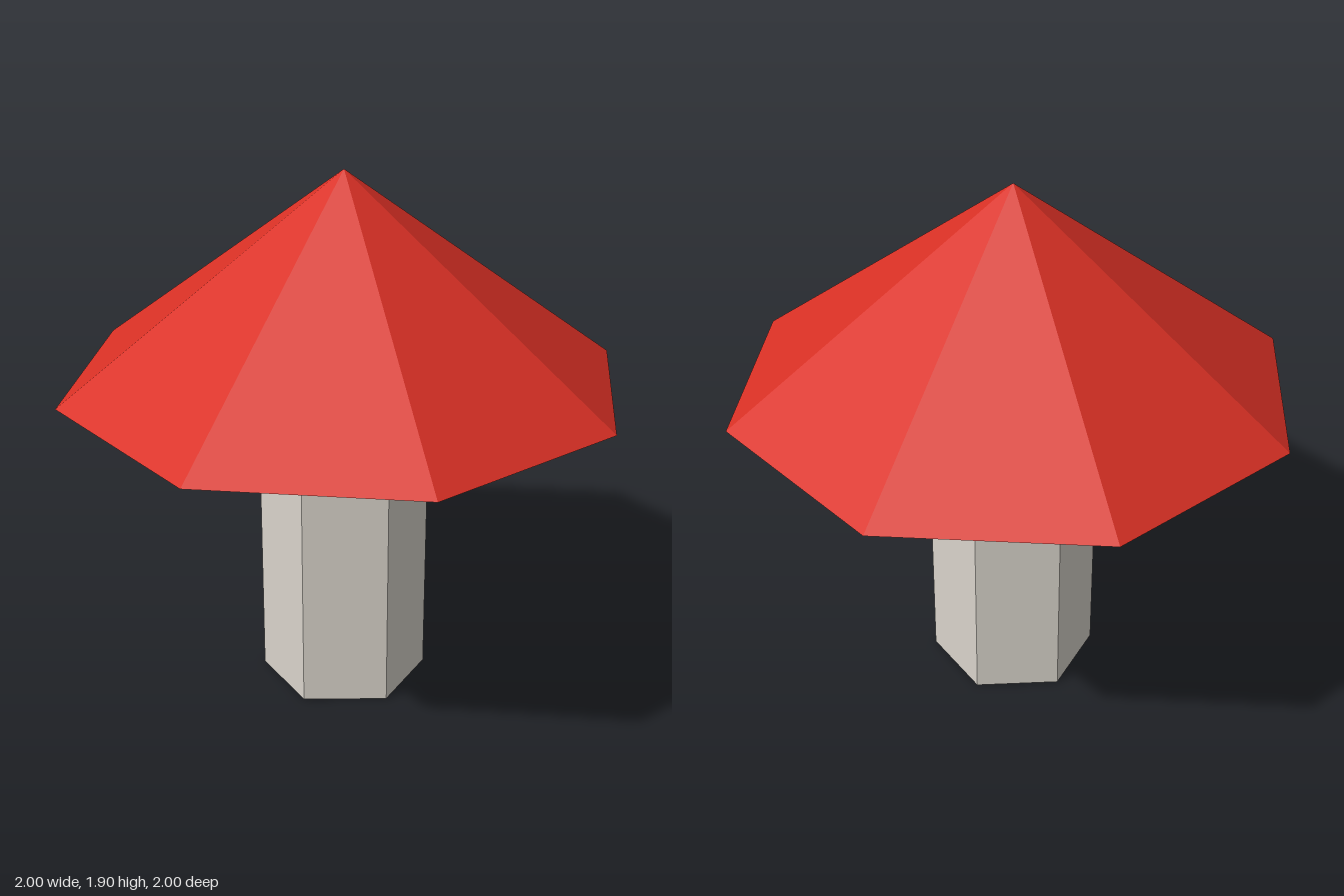
import * as THREE from 'three';

const STEM_RADIUS = 0.3, CAP_BASE = 1.155, CAP_TOP = 1.9;

function material(name, color) {
  const m = new THREE.MeshStandardMaterial({ color, flatShading: true });
  m.name = name;
  return m;
}

export function createModel() {
  const group = new THREE.Group();
  group.name = 'mushroom';

  // Six-sided stem, standing on the ground
  const stem = new THREE.Mesh(
    new THREE.CylinderGeometry(STEM_RADIUS, STEM_RADIUS, CAP_BASE, 6),
    material('pale stem', 0xd9d4cb)
  );
  stem.name = 'stem';
  stem.position.y = CAP_BASE / 2;

  // Eight-sided pointed cap with a flat underside
  const cap = new THREE.Mesh(
    new THREE.ConeGeometry(1, CAP_TOP - CAP_BASE, 8),
    material('red cap', 0xd93025)
  );
  cap.name = 'cap';
  cap.position.y = (CAP_BASE + CAP_TOP) / 2;

  group.add(stem, cap);
  return group;
}
